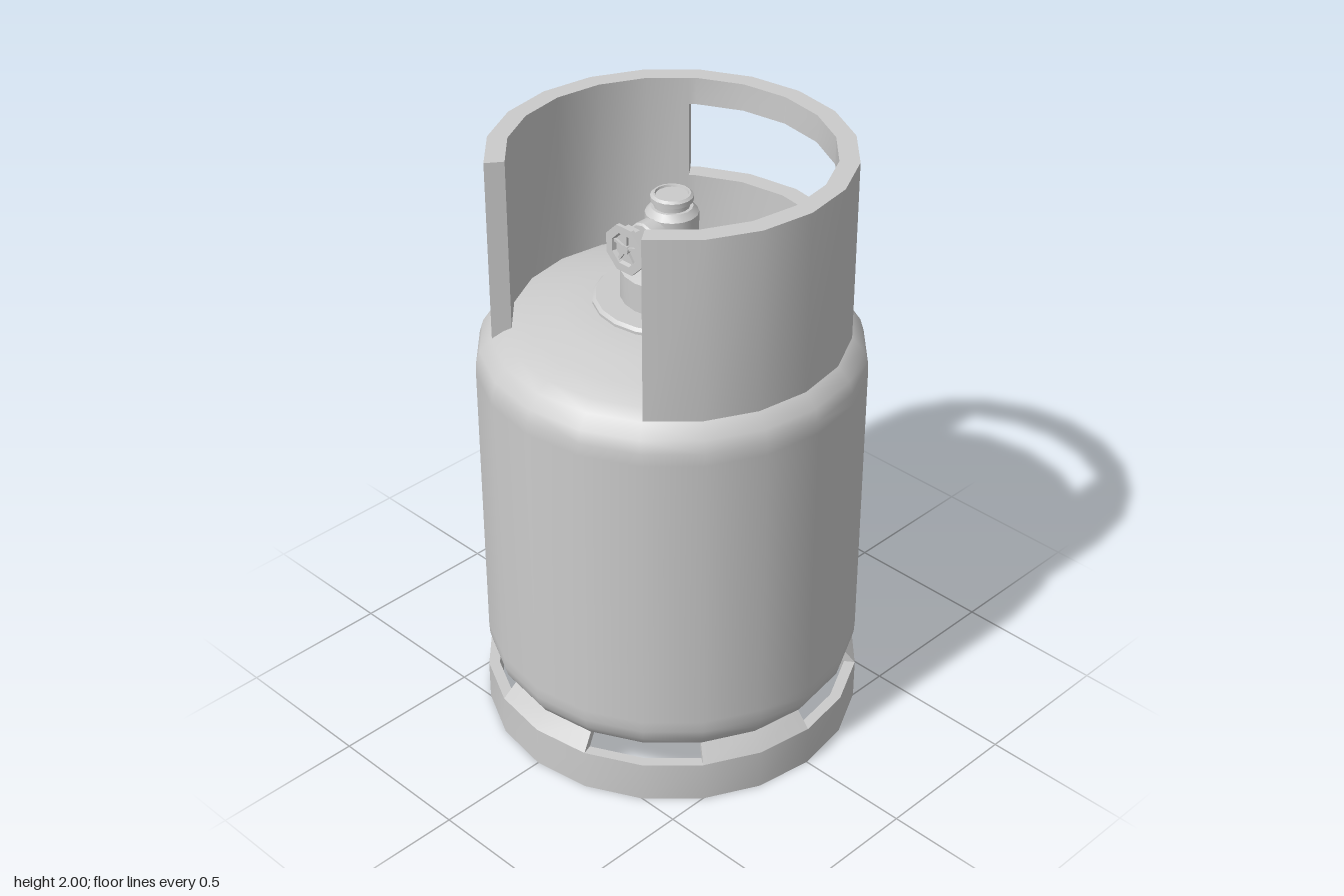
import * as THREE from 'three';
import { toCreasedNormals } from 'three/addons/utils/BufferGeometryUtils.js';

const SIDES = 20, STEP = 18, DEG = Math.PI / 180;
const material = new THREE.MeshStandardMaterial({ color: 0xcccccc });

function part(name, geometry, crease = 0.55) {
  const mesh = new THREE.Mesh(crease ? toCreasedNormals(geometry, crease) : geometry, material);
  mesh.name = name;
  return mesh;
}

function lathe(points, sides = SIDES, start = 0) {
  return new THREE.LatheGeometry(points.map(p => new THREE.Vector2(...p)), sides, start);
}

// Curved wall along a 20-sided ring from angle a to b (degrees from the front).
// bottom and top are [y, outer radius, inner radius].
function wall(a, b, bottom, top) {
  const angles = [a];
  for (let t = (Math.floor(a / STEP) + 1) * STEP; t < b; t += STEP) angles.push(t);
  angles.push(b);
  const point = (t, y, r) => {
    const off = ((t % STEP) + STEP) % STEP - STEP / 2;
    const k = r * Math.cos(STEP / 2 * DEG) / Math.cos(off * DEG); // stay on the flat side
    return [k * Math.sin(t * DEG), y, k * Math.cos(t * DEG)];
  };
  const corners = t => ({
    o0: point(t, bottom[0], bottom[1]), i0: point(t, bottom[0], bottom[2]),
    o1: point(t, top[0], top[1]), i1: point(t, top[0], top[2]),
  });
  const pos = [];
  const quad = (p, q, r, s) => pos.push(...p, ...q, ...r, ...p, ...r, ...s);
  for (let n = 0; n < angles.length - 1; n++) {
    const c = corners(angles[n]), d = corners(angles[n + 1]);
    quad(c.o0, d.o0, d.o1, c.o1);
    quad(d.i0, c.i0, c.i1, d.i1);
    quad(c.o1, d.o1, d.i1, c.i1);
    quad(c.i0, d.i0, d.o0, c.o0);
  }
  if (b - a < 360) {
    const c = corners(a), d = corners(b);
    quad(c.i0, c.o0, c.o1, c.i1);
    quad(d.o0, d.i0, d.i1, d.o1);
  }
  const g = new THREE.BufferGeometry();
  g.setAttribute('position', new THREE.Float32BufferAttribute(pos, 3));
  return g;
}

export function createModel() {
  const model = new THREE.Group();
  model.name = 'gasCylinder';

  // Pressure vessel with domed ends
  model.add(part('tank', lathe([
    [0, 0.1], [0.35, 0.115], [0.48, 0.145], [0.54, 0.17], [0.578, 0.2], [0.6, 0.235],
    [0.609, 0.27], [0.611, 0.31], [0.611, 1.28], [0.609, 1.32], [0.597, 1.36],
    [0.56, 1.4], [0.52, 1.425], [0.45, 1.45], [0.35, 1.475], [0.24, 1.497], [0, 1.505],
  ]), 0));

  // Foot ring with five tabs leaning in to the tank
  const foot = new THREE.Group();
  foot.name = 'footRing';
  foot.add(part('footBand', wall(0, 360, [0, 0.618, 0.582], [0.14, 0.618, 0.582])));
  for (let n = 0; n < 5; n++) {
    foot.add(part('footTab', wall(n * 72 - 18, n * 72 + 18, [0.14, 0.618, 0.582], [0.197, 0.57, 0.535])));
  }
  model.add(foot);

  // Guard collar, open at the front with a hand hole at the back
  const collar = new THREE.Group();
  collar.name = 'collar';
  const band = (name, a, b, y0, y1) =>
    collar.add(part(name, wall(a, b, [y0, 0.557, 0.495], [y1, 0.557, 0.495])));
  band('collarSide', 36, 141.5, 1.4, 2);
  band('collarSide', 218.5, 324, 1.4, 2);
  band('collarBackLower', 141.5, 218.5, 1.4, 1.66);
  band('collarHandle', 141.5, 218.5, 1.91, 2);
  model.add(collar);

  // Neck plate and boss
  model.add(part('neckPlate', lathe([[0.245, 1.49], [0.245, 1.505], [0.235, 1.514], [0, 1.514]])));
  model.add(part('neckBoss', lathe([[0.16, 1.5], [0.16, 1.61], [0.065, 1.65], [0, 1.65]])));

  // Valve
  const valve = new THREE.Group();
  valve.name = 'valve';
  valve.add(part('valveBody', lathe([
    [0.05, 1.63], [0.05, 1.66], [0.065, 1.66], [0.082, 1.685], [0.082, 1.795], [0.065, 1.815],
    [0.055, 1.815], [0.055, 1.83], [0.066, 1.835], [0.066, 1.85], [0.058, 1.857],
    [0.052, 1.857], [0.05, 1.85], [0, 1.85],
  ], 16)));

  // Outlet and handwheel facing forward; the profile's y runs along z
  const wheel = new THREE.Group();
  wheel.name = 'handwheel';
  wheel.position.y = 1.74;
  const forward = (name, points, sides, start) =>
    wheel.add(part(name, lathe(points, sides, start).rotateX(Math.PI / 2)));
  forward('outletCollar', [[0.058, 0.05], [0.058, 0.12], [0.052, 0.126], [0, 0.126]], 12);
  forward('wheelStem', [[0.022, 0.12], [0.022, 0.165]], 10);
  forward('wheelRim', [
    [0, 0.158], [0.065, 0.158], [0.065, 0.19], [0.081, 0.19], [0.081, 0.202],
    [0.054, 0.202], [0.05, 0.188], [0, 0.188],
  ], 8, Math.PI / 8);
  forward('wheelHub', [[0.015, 0.185], [0.015, 0.2], [0, 0.2]], 10);
  for (let n = 0; n < 5; n++) {
    const spoke = part('wheelSpoke', new THREE.BoxGeometry(0.01, 0.04, 0.01).translate(0, 0.031, 0.191));
    spoke.rotation.z = n * 72 * DEG;
    wheel.add(spoke);
  }
  valve.add(wheel);
  model.add(valve);

  return model;
}
